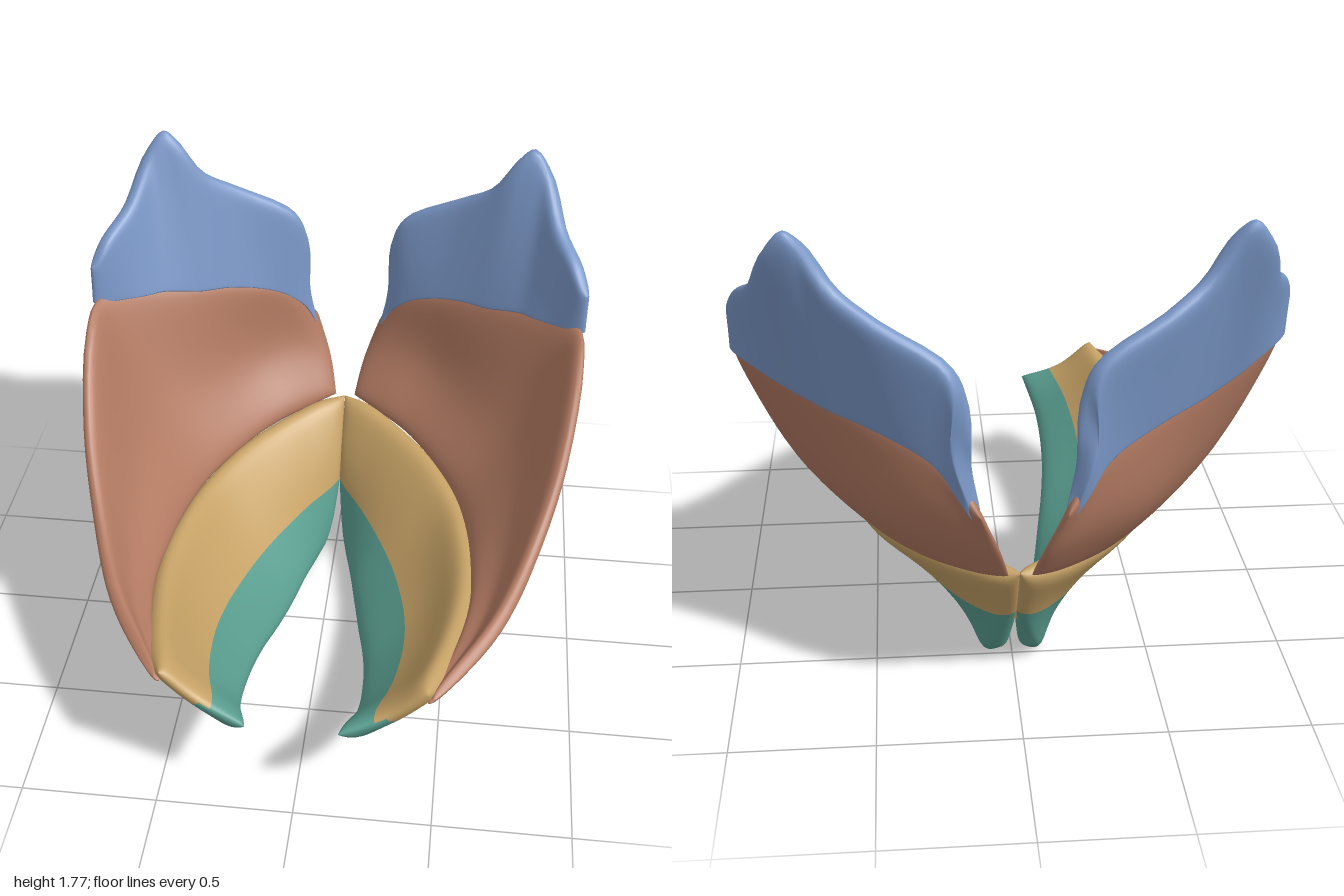
import * as THREE from 'three';
import { mergeVertices } from 'three/addons/utils/BufferGeometryUtils.js';

const V = (p) => new THREE.Vector3(...p);

// Closed, round-edged sheet lofted through cross-sections (each a list of points).
// Rows above the split form group 0, the rest group 1; outer and inner faces have their own split.
function sheet(sections, thickness, side, outerSplit = 1, innerSplit = 1, nu = 56, nv = 24) {
  const rails = sections[0].map((_, j) => new THREE.CatmullRomCurve3(sections.map((s) => V(s[j])), false, 'centripetal'));
  const at = (u, v) => new THREE.CatmullRomCurve3(rails.map((r) => r.getPoint(u)), false, 'catmullrom').getPoint(v);
  const ease = (t) => (1 - Math.cos(Math.PI * t)) / 2;
  const round = (t) => Math.sqrt(Math.max(0, 1 - Math.abs(2 * t - 1) ** 10));
  const pos = [], groups = [[], []], e = 0.01;
  for (const face of [1, -1]) {
    const split = face > 0 ? outerSplit : innerSplit;
    for (let i = 0; i <= nu; i++) {
      for (let j = 0; j <= nv; j++) {
        const u = ease(i / nu), v = ease(j / nv);
        const du = at(Math.min(1, u + e), v).sub(at(Math.max(0, u - e), v));
        const dv = at(u, Math.min(1, v + e)).sub(at(u, Math.max(0, v - e)));
        const n = du.cross(dv).normalize();
        const p = at(u, v).addScaledVector(n, face * thickness / 2 * round(u) * round(v));
        pos.push(side * Math.max(p.x, 0.001), Math.max(p.y, 0), p.z);
      }
    }
    const base = face > 0 ? 0 : (nu + 1) * (nv + 1);
    for (let i = 0; i < nu; i++) {
      for (let j = 0; j < nv; j++) {
        const a = base + i * (nv + 1) + j, b = a + nv + 1;
        const out = groups[ease((j + 0.5) / nv) < split ? 0 : 1];
        if (face * side > 0) out.push(a, b, b + 1, a, b + 1, a + 1);
        else out.push(a, b + 1, b, a, a + 1, b + 1);
      }
    }
  }
  let g = new THREE.BufferGeometry();
  g.setAttribute('position', new THREE.Float32BufferAttribute(pos, 3));
  g.setIndex([...groups[0], ...groups[1]]);
  g = mergeVertices(g, 1e-5);
  g.clearGroups();
  g.addGroup(0, groups[0].length, 0);
  if (groups[1].length) g.addGroup(groups[0].length, groups[1].length, 1);
  g.computeVertexNormals();
  return g;
}

// Lower bowl: top rim, belly, bottom edge, from back seam to front tip
const bowl = [
  [[0.0, 0.555, -0.83], [0.0, 0.315, -0.69], [0.045, 0.08, -0.57]],
  [[0.10, 0.555, -0.78], [0.075, 0.31, -0.62], [0.072, 0.005, -0.46]],
  [[0.20, 0.54, -0.70], [0.157, 0.30, -0.51], [0.088, 0.02, -0.34]],
  [[0.38, 0.515, -0.50], [0.267, 0.288, -0.31], [0.112, 0.045, -0.18]],
  [[0.51, 0.49, -0.26], [0.357, 0.283, -0.10], [0.14, 0.065, 0.0]],
  [[0.57, 0.50, 0.0], [0.407, 0.298, 0.10], [0.168, 0.11, 0.18]],
  [[0.59, 0.52, 0.25], [0.432, 0.333, 0.30], [0.198, 0.17, 0.36]],
  [[0.572, 0.55, 0.50], [0.432, 0.393, 0.53], [0.222, 0.235, 0.58]],
  [[0.515, 0.60, 0.79], [0.392, 0.463, 0.80], [0.217, 0.32, 0.83]],
  [[0.46, 0.62, 0.95], [0.325, 0.505, 0.965], [0.162, 0.44, 0.998]],
];

// Middle wall: lower edge, belly, upper edge
const wall = [
  [[0.04, 0.555, -0.84], [0.075, 0.70, -0.925], [0.14, 0.87, -0.995]],
  [[0.16, 0.535, -0.75], [0.22, 0.78, -0.88], [0.27, 1.05, -0.90]],
  [[0.29, 0.52, -0.63], [0.40, 0.78, -0.76], [0.42, 1.12, -0.81]],
  [[0.425, 0.50, -0.44], [0.58, 0.78, -0.56], [0.65, 1.18, -0.66]],
  [[0.515, 0.49, -0.25], [0.73, 0.80, -0.35], [0.92, 1.25, -0.42]],
  [[0.565, 0.49, -0.05], [0.78, 0.78, -0.13], [0.94, 1.20, -0.25]],
  [[0.59, 0.505, 0.20], [0.745, 0.67, 0.12], [0.90, 0.96, 0.05]],
  [[0.59, 0.53, 0.42], [0.705, 0.61, 0.36], [0.81, 0.77, 0.33]],
  [[0.55, 0.555, 0.65], [0.63, 0.585, 0.63], [0.69, 0.665, 0.62]],
  [[0.46, 0.58, 0.95], [0.47, 0.585, 0.95], [0.48, 0.595, 0.94]],
];

// Peaked crest: lower edge, upper edge
const crest = [
  [[0.14, 0.83, -0.955], [0.15, 0.87, -0.96]],
  [[0.19, 0.93, -0.94], [0.196, 1.08, -0.97]],
  [[0.235, 1.0, -0.91], [0.196, 1.29, -0.97]],
  [[0.29, 1.05, -0.88], [0.238, 1.385, -0.95]],
  [[0.40, 1.10, -0.82], [0.45, 1.51, -0.89]],
  [[0.50, 1.13, -0.76], [0.58, 1.60, -0.83]],
  [[0.60, 1.15, -0.69], [0.67, 1.74, -0.81]],
  [[0.66, 1.17, -0.65], [0.72, 1.775, -0.81]],
  [[0.73, 1.19, -0.60], [0.78, 1.71, -0.77]],
  [[0.79, 1.20, -0.54], [0.84, 1.55, -0.62]],
  [[0.87, 1.22, -0.47], [0.905, 1.47, -0.48]],
  [[0.95, 1.235, -0.395], [0.945, 1.38, -0.405]],
];

export function createModel() {
  const mat = (name, color) => Object.assign(new THREE.MeshStandardMaterial({ color }), { name });
  const blue = mat('blue', 0x7b98c8), brown = mat('brown', 0xb27a62);
  const gold = mat('gold', 0xc6a266), teal = mat('teal', 0x5a9e90);
  const model = new THREE.Group();
  model.name = 'layeredShell';
  for (const [label, side] of [['left', 1], ['right', -1]]) {
    const half = new THREE.Group();
    half.name = label + 'Half';
    const add = (name, geometry, material) => {
      const mesh = new THREE.Mesh(geometry, material);
      mesh.name = label + name;
      half.add(mesh);
    };
    add('LowerBowl', sheet(bowl, 0.1, side, 0.5, 0.61), [gold, teal]);
    add('MiddleWall', sheet(wall, 0.06, side), [brown]);
    add('UpperCrest', sheet(crest, 0.07, side), [blue]);
    model.add(half);
  }
  return model;
}
